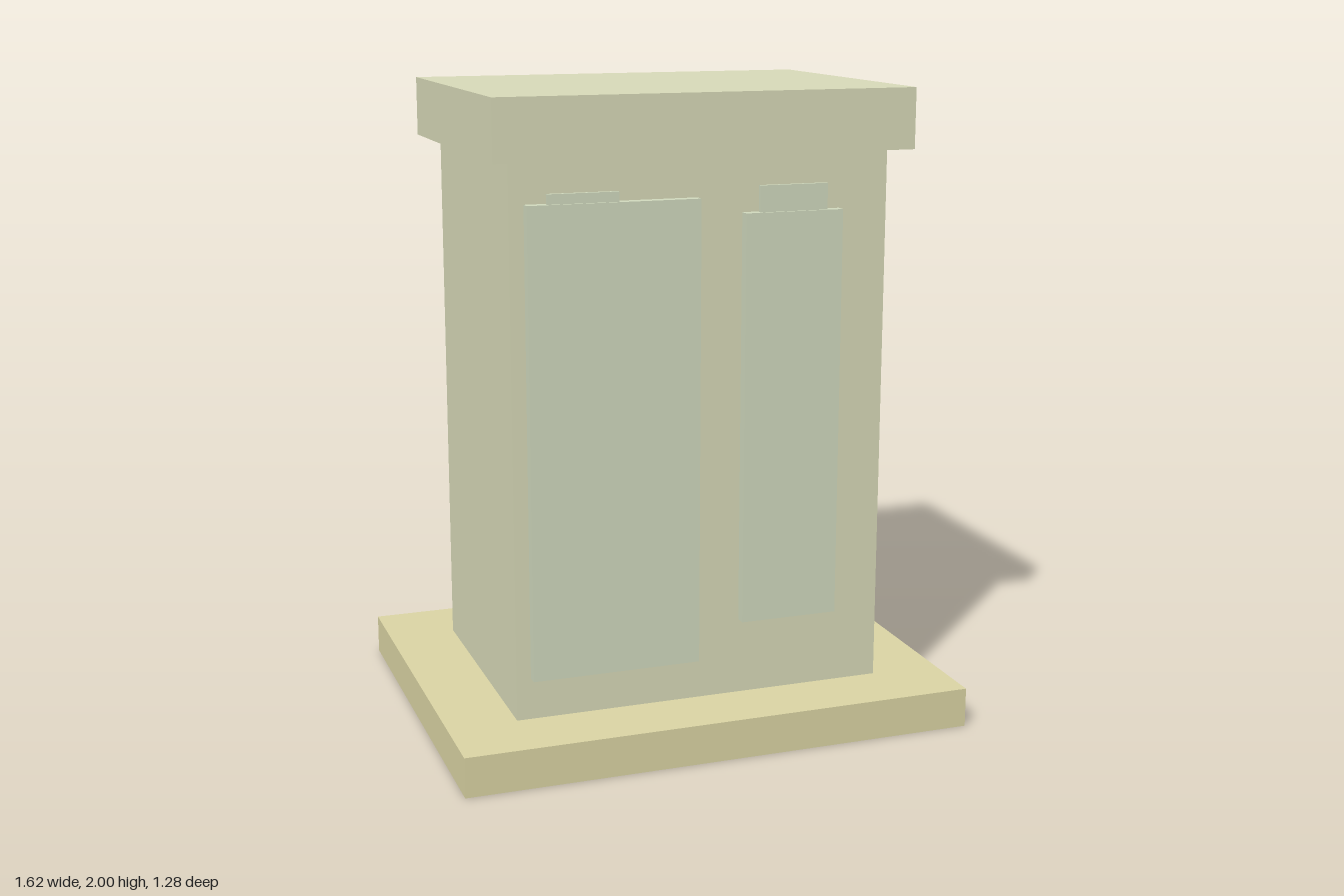
import * as THREE from 'three';

const plinthMat = new THREE.MeshStandardMaterial({ color: 0xddd7a6 });
const stoneMat = new THREE.MeshStandardMaterial({ color: 0xdadcba });
const panelMat = new THREE.MeshStandardMaterial({ color: 0xd3dcc0 });

// Box given by its [min, max] extents on each axis
function slab(name, material, [x0, x1], [y0, y1], [z0, z1]) {
  const mesh = new THREE.Mesh(new THREE.BoxGeometry(x1 - x0, y1 - y0, z1 - z0), material);
  mesh.position.set((x0 + x1) / 2, (y0 + y1) / 2, (z0 + z1) / 2);
  mesh.name = name;
  return mesh;
}

// Raised front panel with a thinner tab standing on its top edge
function tabbedPanel(name, xRange, yRange, tabX, tabTop) {
  const panel = new THREE.Group();
  panel.name = name;
  panel.add(
    slab('panelBoard', panelMat, xRange, yRange, [0.42, 0.455]),
    slab('panelTab', panelMat, tabX, [yRange[1], tabTop], [0.434, 0.447]),
  );
  return panel;
}

export function createModel() {
  const model = new THREE.Group();
  model.name = 'pedestal';
  model.add(
    slab('basePlinth', plinthMat, [-0.812, 0.812], [0, 0.125], [-0.64, 0.64]),
    slab('body', stoneMat, [-0.595, 0.592], [0.125, 1.815], [-0.42, 0.422]),
    slab('topCap', stoneMat, [-0.655, 0.653], [1.815, 2], [-0.487, 0.485]),
    tabbedPanel('widePanel', [-0.55, -0.02], [0.255, 1.69], [-0.487, -0.27], 1.72),
    tabbedPanel('narrowPanel', [0.122, 0.435], [0.365, 1.64], [0.17, 0.387], 1.72),
  );
  return model;
}
